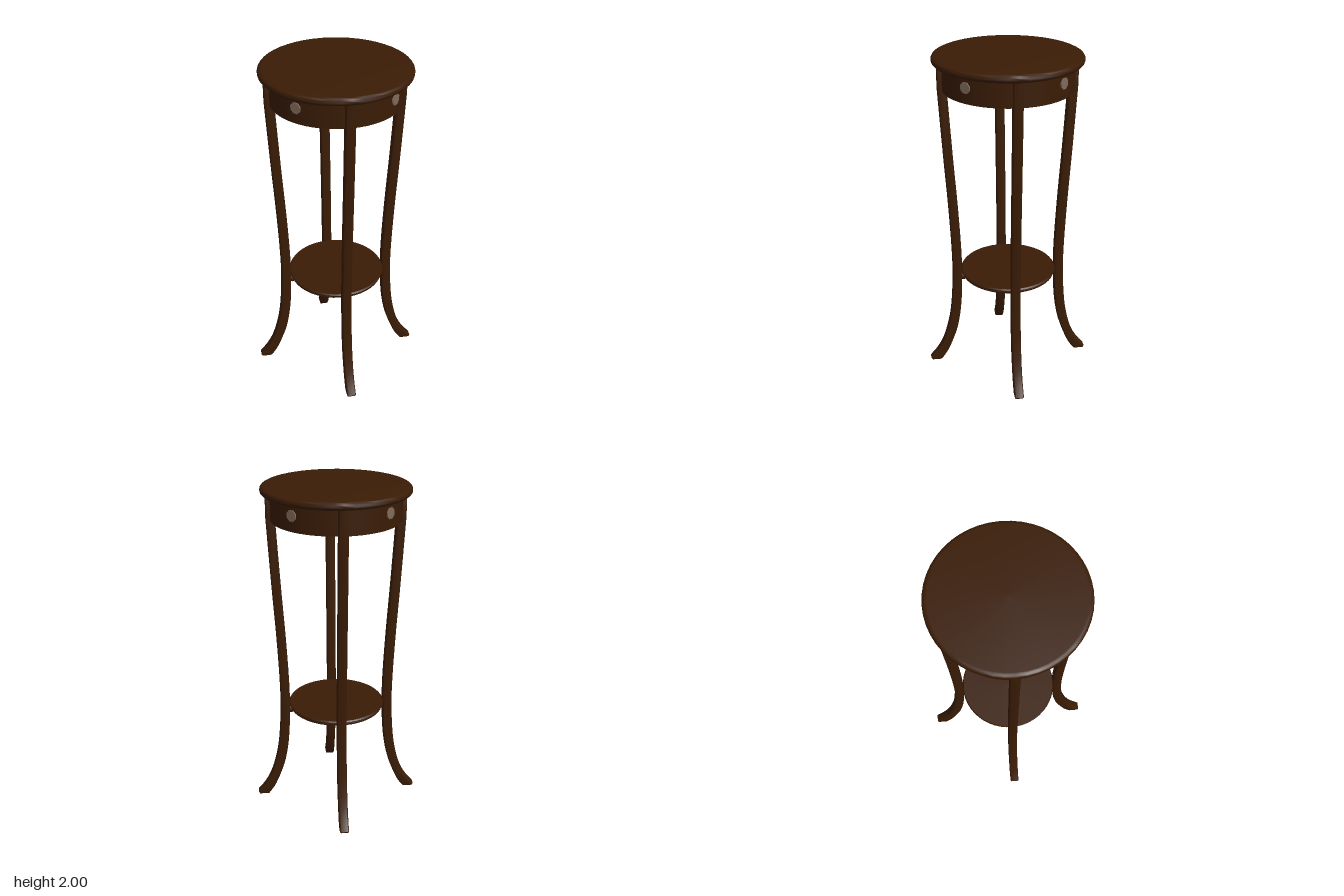
import * as THREE from 'three';
import { toCreasedNormals } from 'three/addons/utils/BufferGeometryUtils.js';

const wood = new THREE.MeshStandardMaterial({ color: 0x3a1c05 });
wood.name = 'dark brown wood';
const knobMaterial = new THREE.MeshStandardMaterial({ color: 0x806b5a });
knobMaterial.name = 'dull pewter';

const vec = ([x, y]) => new THREE.Vector2(x, y);

function part(name, geometry, material = wood) {
  const mesh = new THREE.Mesh(geometry, material);
  mesh.name = name;
  return mesh;
}

// Round part from [radius, height] points, listed bottom to top on the outside
function turned(name, points, segments = 48) {
  return part(name, toCreasedNormals(new THREE.LatheGeometry(points.map(vec), segments), 0.9));
}

// Sabre leg: side profile extruded across its width, with softened edges
function legGeometry() {
  const outer = [[0.379, 1.4], [0.361, 1.1], [0.348, 0.8], [0.347, 0.6],
    [0.36, 0.4], [0.381, 0.27], [0.416, 0.15], [0.458, 0.07], [0.505, 0.012]];
  const inner = [[0.396, 0.06], [0.357, 0.15], [0.325, 0.25], [0.301, 0.4],
    [0.29, 0.6], [0.291, 0.8], [0.305, 1.1], [0.324, 1.4], [0.347, 1.81]];
  const shape = new THREE.Shape();
  shape.moveTo(0.347, 1.958);
  shape.lineTo(0.401, 1.958);
  shape.lineTo(0.401, 1.81);
  shape.splineThru(outer.map(vec));
  shape.lineTo(0.497, 0);
  shape.lineTo(0.437, 0);
  shape.splineThru(inner.map(vec));
  shape.closePath();
  const width = 0.055, bevel = 0.007;
  const geometry = new THREE.ExtrudeGeometry(shape, {
    depth: width - 2 * bevel, curveSegments: 3, bevelEnabled: true,
    bevelSize: bevel, bevelOffset: -bevel, bevelThickness: bevel, bevelSegments: 2,
  });
  geometry.translate(0, 0, -width / 2 + bevel);
  return toCreasedNormals(geometry, 0.9);
}

export function createModel() {
  const model = new THREE.Group();
  model.name = 'plantStand';

  // Round top with a softly rounded upper rim and a chamfer below
  model.add(turned('tabletop', [[0, 1.955], [0.408, 1.955], [0.42, 1.96], [0.428, 1.969],
    [0.43, 1.98], [0.428, 1.988], [0.423, 1.995], [0.415, 1.999], [0.405, 2], [0, 2]]));

  // Hollow ring under the top
  model.add(turned('apron', [[0.366, 1.957], [0.366, 1.808], [0.376, 1.808], [0.376, 1.957]]));

  // Lower shelf with a stepped edge
  model.add(turned('shelf', [[0, 0.617], [0.278, 0.617], [0.284, 0.622], [0.284, 0.63],
    [0.28, 0.634], [0.29, 0.637], [0.292, 0.642], [0.286, 0.65], [0, 0.65]]));

  // Four legs, each with a shelf peg, and four flat knobs between them
  const leg = legGeometry();
  const peg = new THREE.SphereGeometry(0.025, 12, 8);
  const knob = new THREE.CylinderGeometry(0.033, 0.033, 0.008, 8);
  knob.rotateY(Math.PI / 8).rotateX(Math.PI / 2);
  for (let i = 0; i < 4; i++) {
    const quarter = new THREE.Group();
    quarter.name = 'legUnit';
    quarter.rotation.y = i * Math.PI / 2;
    const pegMesh = part('shelfPeg', peg);
    pegMesh.position.set(0.282, 0.602, 0);
    const knobMesh = part('knob', knob, knobMaterial);
    knobMesh.position.set(0.267, 1.898, 0.267);
    knobMesh.rotation.y = Math.PI / 4;
    quarter.add(part('leg', leg), pegMesh, knobMesh);
    model.add(quarter);
  }
  return model;
}
